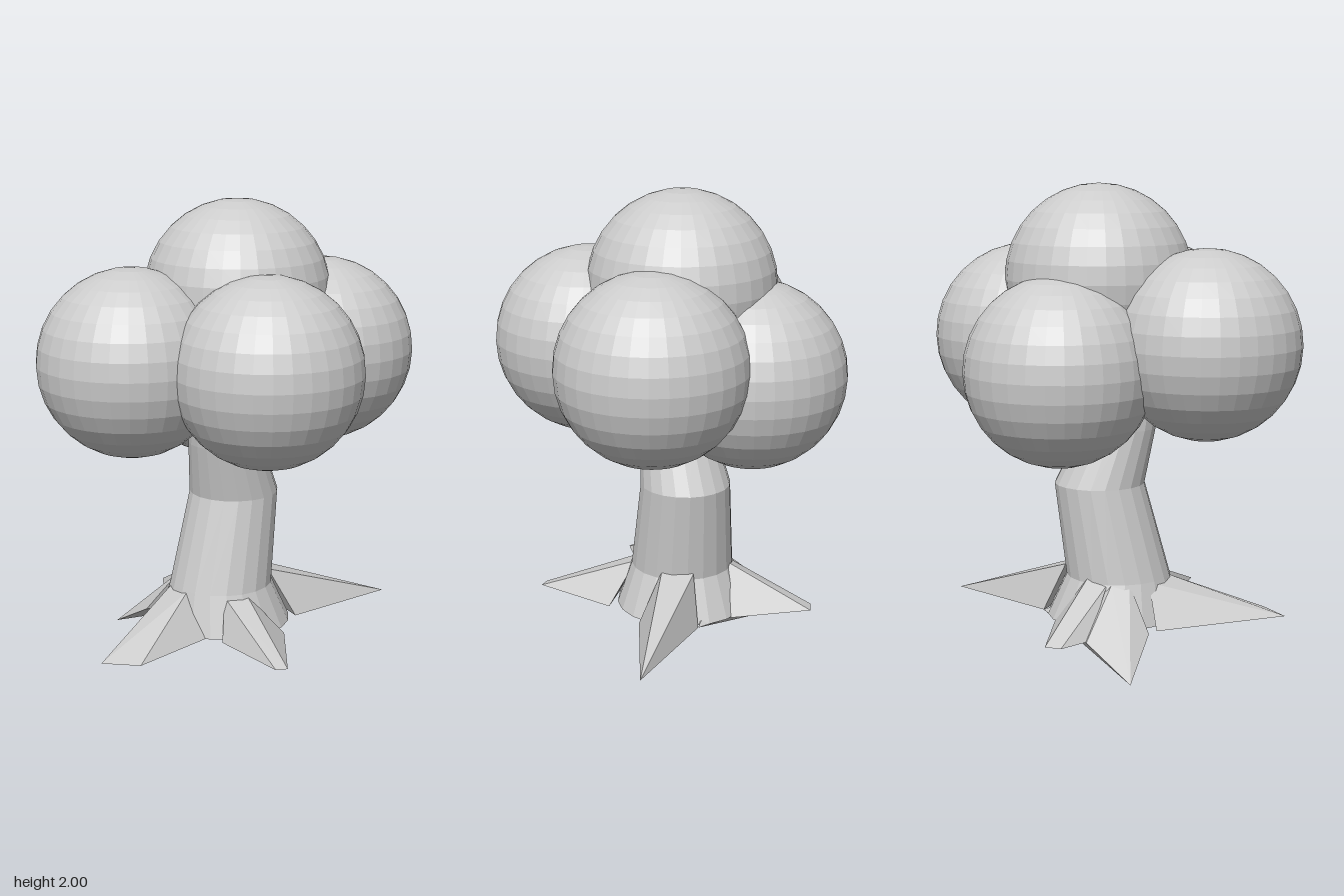
import * as THREE from 'three';
import { ConvexGeometry } from 'three/addons/geometries/ConvexGeometry.js';

const material = new THREE.MeshStandardMaterial({ color: 0xcccccc, flatShading: true });

function add(group, name, geometry) {
  const mesh = new THREE.Mesh(geometry, material);
  mesh.name = name;
  group.add(mesh);
  return mesh;
}

// Bent trunk: a straight tube of rings, each moved and scaled to its section
function trunkGeometry(sections, sides) {
  const geometry = new THREE.CylinderGeometry(1, 1, 1, sides, sections.length - 1);
  const p = geometry.attributes.position;
  for (let i = 0; i < p.count; i++) {
    const k = Math.round((p.getY(i) + 0.5) * (sections.length - 1));
    const [x, y, z, r] = sections[k];
    p.setXYZ(i, x + p.getX(i) * r, y, z + p.getZ(i) * r);
  }
  geometry.computeVertexNormals();
  return geometry;
}

export function createModel() {
  const tree = new THREE.Group();
  tree.name = 'tree';

  // Trunk sections, bottom to top: x, y, z, radius
  add(tree, 'trunk', trunkGeometry([
    [-0.012, 0.14, -0.05, 0.29],
    [-0.03, 0.32, -0.045, 0.225],
    [0.045, 0.72, -0.075, 0.195],
    [-0.02, 0.96, -0.02, 0.16],
    [-0.06, 1.2, 0.03, 0.13],
  ], 20));

  // Roots: faceted wedges from the trunk foot out to their tips
  const floor = 0.14;
  const roots = {
    leftRoot: [
      [0.28, floor, 0.08], [0.27, floor, -0.18], [0.18, 0.35, 0],
      [0.18, 0.35, -0.14], [0.8, floor, -0.05],
    ],
    frontRoot: [
      [0.14, floor, 0.25], [-0.15, floor, 0.24], [-0.1, 0.31, 0.15],
      [0, 0.31, 0.16], [-0.02, floor, 0.61], [-0.07, floor, 0.6],
    ],
    rightRoot: [
      [-0.2, floor, 0.17], [-0.31, floor, -0.22], [-0.23, 0.315, 0.04],
      [-0.22, 0.315, -0.12], [-0.7, floor, 0.24], [-0.56, floor, 0.33],
    ],
    backRoot: [
      [0.14, floor, -0.3], [-0.13, floor, -0.48], [-0.09, 0.32, -0.25],
      [0, 0.34, -0.26], [-0.01, floor, -0.63], [-0.08, floor, -0.62],
    ],
    // This one dips below the others
    droopingRoot: [
      [0.27, floor, -0.18], [-0.13, floor, -0.5], [-0.3, floor, -0.27],
      [-0.11, 0.32, -0.25], [-0.17, 0.32, -0.2], [-0.35, 0.003, -0.525],
    ],
  };
  for (const [name, points] of Object.entries(roots)) {
    add(tree, name, new ConvexGeometry(points.map((p) => new THREE.Vector3(...p))));
  }

  // Foliage: five equal overlapping balls
  const ball = new THREE.SphereGeometry(0.4, 32, 16);
  const foliage = {
    topFoliage: [0.055, 1.6, -0.06],
    frontFoliage: [0, 1.335, 0.36],
    backFoliage: [0.07, 1.235, -0.365],
    leftFoliage: [0.44, 1.335, -0.02],
    rightFoliage: [-0.44, 1.34, -0.035],
  };
  for (const [name, centre] of Object.entries(foliage)) {
    add(tree, name, ball).position.set(...centre);
  }
  return tree;
}
